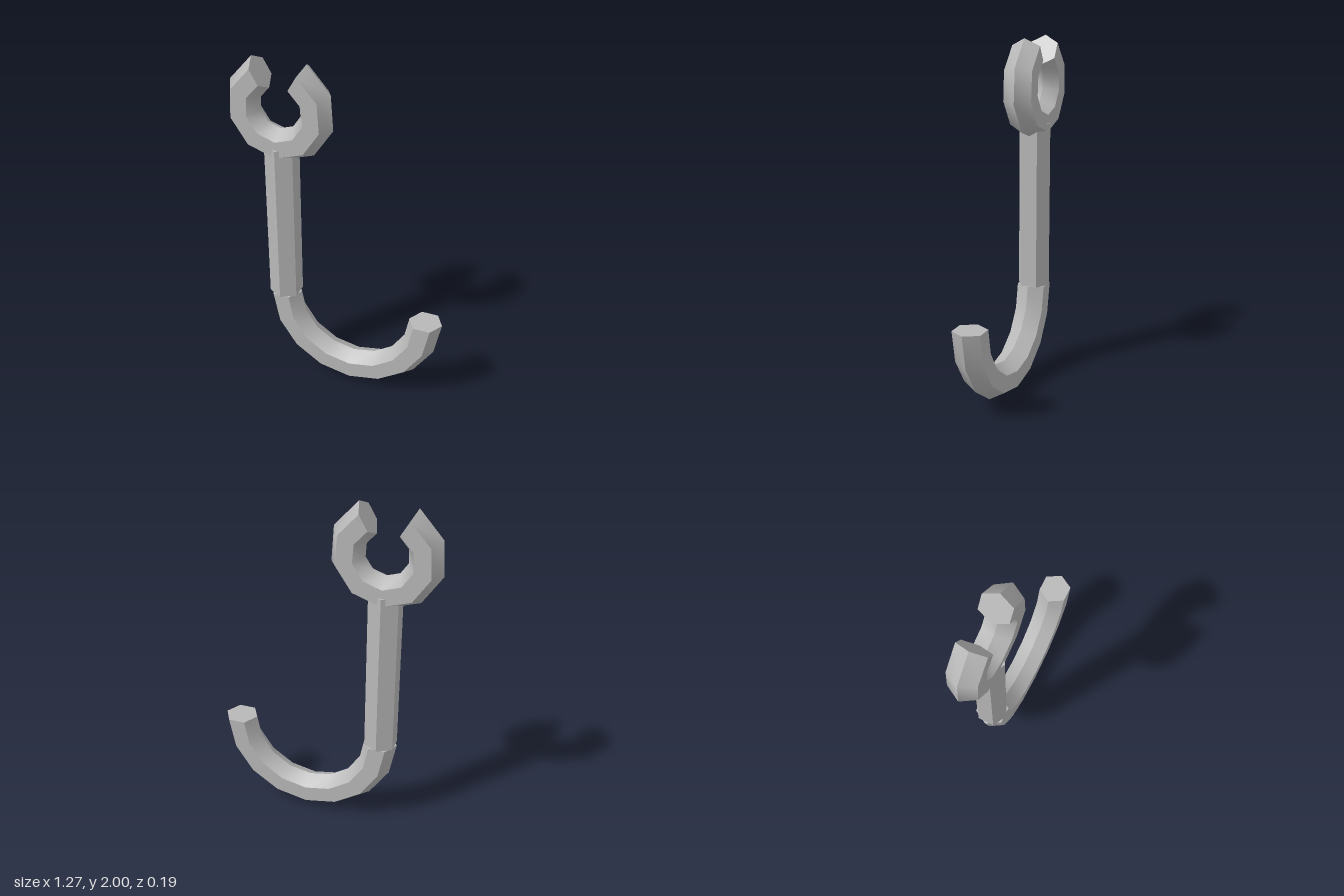
import * as THREE from 'three';
import { mergeGeometries, toCreasedNormals } from 'three/addons/utils/BufferGeometryUtils.js';

const TUBE = 0.097;   // radius of the six-sided bar
const SHAFT_X = -0.333;

// Six-sided bar bent along an arc, closed at both ends, turned to its start angle
function bentBar(radius, start, arc) {
  const bar = new THREE.TorusGeometry(radius, TUBE, 6, 8, arc);
  const startCap = new THREE.CircleGeometry(TUBE, 6).rotateX(Math.PI / 2).translate(radius, 0, 0);
  const endCap = new THREE.CircleGeometry(TUBE, 6).rotateX(-Math.PI / 2).translate(radius, 0, 0).rotateZ(arc);
  const merged = mergeGeometries([bar, startCap, endCap]).rotateZ(start);
  return toCreasedNormals(merged, 0.8);
}

export function createModel() {
  const group = new THREE.Group();
  const steel = new THREE.MeshStandardMaterial({ color: 0xb8b8b8 });
  steel.name = 'steel grey';
  const steelFlat = steel;

  const add = (name, geometry, x, y) => {
    const mesh = new THREE.Mesh(geometry, steelFlat);
    mesh.name = name;
    mesh.position.set(x, y, 0);
    group.add(mesh);
  };

  // Large half-circle hook at the bottom
  const hookRadius = 0.436, hookY = 0.533;
  add('hook', bentBar(hookRadius, Math.PI, Math.PI), SHAFT_X + hookRadius, hookY);

  // Straight hexagonal shaft, running up into the middle of the ring's bar
  const ringRadius = 0.218, ringY = 1.727;
  const length = ringY - ringRadius - hookY;
  const shaft = toCreasedNormals(new THREE.CylinderGeometry(TUBE, TUBE, length, 6), 0.8);
  add('shaft', shaft, SHAFT_X, hookY + length / 2);

  // Ring with a 60 degree gap at the top
  add('openRing', bentBar(ringRadius, Math.PI * 2 / 3, Math.PI * 5 / 3), SHAFT_X, ringY);

  return group;
}
